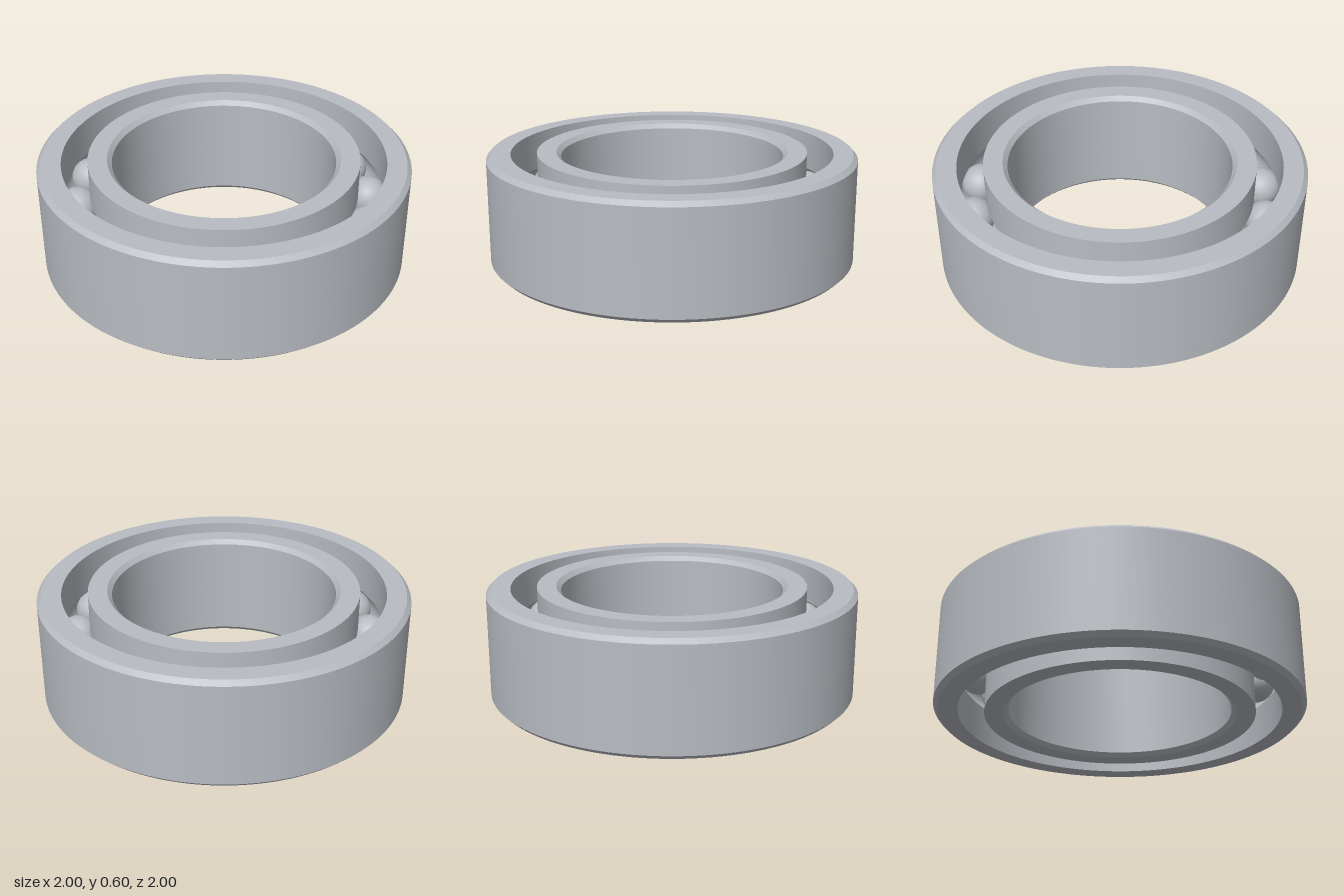
import * as THREE from 'three';
import { toCreasedNormals } from 'three/addons/utils/BufferGeometryUtils.js';

const HEIGHT = 0.6, MID = HEIGHT / 2, CHAMFER = 0.024;
const PITCH = 0.8, BALL_RADIUS = 0.11, BALL_COUNT = 16;
const GROOVE_RADIUS = 0.114, HALF_GAP = 0.07;

// Arc of the ball groove, centred on the pitch circle
function grooveArc(from, to, steps = 12) {
  return Array.from({ length: steps + 1 }, (_, i) => {
    const a = from + (to - from) * i / steps;
    return [PITCH + GROOVE_RADIUS * Math.cos(a), MID + GROOVE_RADIUS * Math.sin(a)];
  });
}

// Closed counterclockwise section spun around the axis
function makeRing(name, section, material) {
  const points = [...section, section[0]].map(([x, y]) => new THREE.Vector2(x, y));
  const mesh = new THREE.Mesh(toCreasedNormals(new THREE.LatheGeometry(points, 128), 0.5), material);
  mesh.name = name;
  return mesh;
}

export function createModel() {
  const group = new THREE.Group();
  group.name = 'ballBearing';
  const steel = new THREE.MeshStandardMaterial({ color: 0xb8bcc2 });
  steel.name = 'steel';

  const a = Math.acos(HALF_GAP / GROOVE_RADIUS);
  const outerBore = PITCH + HALF_GAP, innerRim = PITCH - HALF_GAP, bore = 0.602;

  // Outer race: chamfered outside, grooved bore
  group.add(makeRing('outerRace', [
    [1 - CHAMFER, 0], [1, CHAMFER], [1, HEIGHT - CHAMFER], [1 - CHAMFER, HEIGHT],
    [outerBore, HEIGHT], ...grooveArc(a, -a), [outerBore, 0],
  ], steel));

  // Inner race: grooved outside, chamfered bore
  group.add(makeRing('innerRace', [
    [innerRim, 0], ...grooveArc(Math.PI + a, Math.PI - a), [innerRim, HEIGHT],
    [bore + CHAMFER, HEIGHT], [bore, HEIGHT - CHAMFER], [bore, CHAMFER], [bore + CHAMFER, 0],
  ], steel));

  // Balls
  const balls = new THREE.Group();
  balls.name = 'balls';
  const ballGeometry = new THREE.SphereGeometry(BALL_RADIUS, 32, 20);
  for (let i = 0; i < BALL_COUNT; i++) {
    const t = i / BALL_COUNT * Math.PI * 2;
    const ball = new THREE.Mesh(ballGeometry, steel);
    ball.name = 'ball';
    ball.position.set(PITCH * Math.cos(t), MID, PITCH * Math.sin(t));
    balls.add(ball);
  }
  group.add(balls);
  return group;
}
